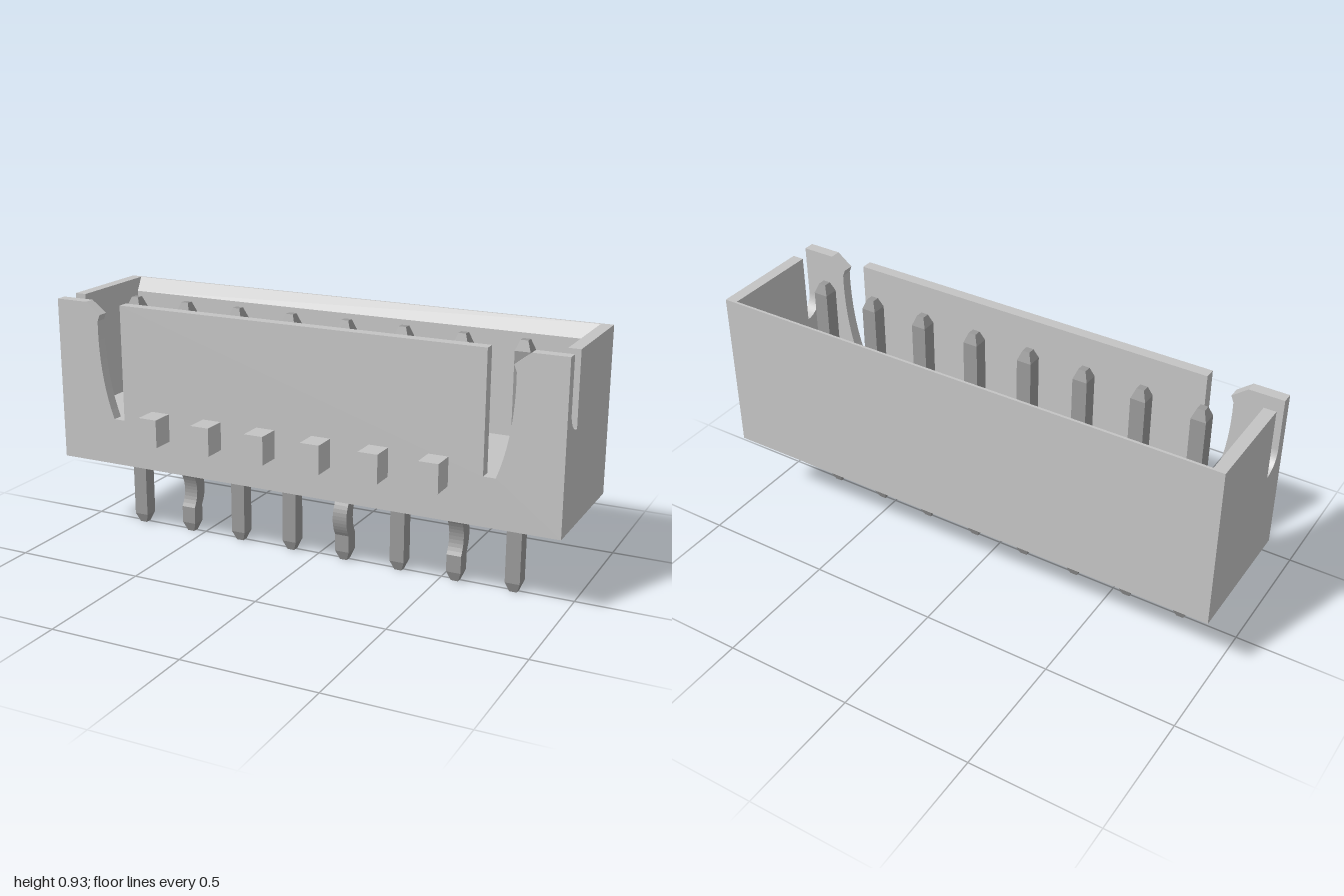
import * as THREE from 'three';

const housingMat = new THREE.MeshStandardMaterial({ color: 0xc4c4c4 });
housingMat.name = 'light grey housing';
const pinMat = new THREE.MeshStandardMaterial({ color: 0x999999 });
pinMat.name = 'mid grey pin';

// Main housing dimensions
const BOTTOM = 0.305, TOP = 0.93, FLOOR = 0.485;
const BACK = -0.3, FRONT = 0.21, FRONT_IN = 0.168, BACK_IN = -0.262;
const SIDE_IN = 0.955, PITCH = 0.223, PIN_Z = 0.004;

function add(group, name, geometry, material) {
  const mesh = new THREE.Mesh(geometry, material);
  mesh.name = name;
  group.add(mesh);
  return mesh;
}

function box(x0, x1, y0, y1, z0, z1) {
  return new THREE.BoxGeometry(x1 - x0, y1 - y0, z1 - z0)
    .translate((x0 + x1) / 2, (y0 + y1) / 2, (z0 + z1) / 2);
}

// Extrude a (-z, y) profile along x, from x0 to x1
function extrudeAlongX(shape, x0, x1) {
  return new THREE.ExtrudeGeometry(shape, { depth: x1 - x0, bevelEnabled: false, curveSegments: 10 })
    .rotateY(Math.PI / 2).translate(x0, 0, 0);
}

// Front wall with two flared, curved slots near the ends
function frontWall() {
  const s = new THREE.Shape();
  s.moveTo(-1, BOTTOM);
  s.lineTo(1, BOTTOM);
  s.lineTo(1, TOP);
  s.lineTo(0.87, TOP);
  s.lineTo(0.812, 0.885);
  s.lineTo(0.822, 0.86);
  s.bezierCurveTo(0.825, 0.74, 0.81, 0.6, 0.765, FLOOR);
  s.lineTo(0.72, FLOOR);
  s.lineTo(0.72, TOP);
  s.lineTo(-0.72, TOP);
  s.lineTo(-0.72, FLOOR);
  s.lineTo(-0.765, FLOOR);
  s.bezierCurveTo(-0.81, 0.6, -0.825, 0.74, -0.822, 0.86);
  s.lineTo(-0.812, 0.885);
  s.lineTo(-0.87, TOP);
  s.lineTo(-1, TOP);
  return new THREE.ExtrudeGeometry(s, { depth: FRONT - FRONT_IN, bevelEnabled: false, curveSegments: 10 })
    .translate(0, 0, FRONT_IN);
}

// Side wall with a round-bottomed notch behind the front wall
function sideProfile() {
  const s = new THREE.Shape();
  const r = 0.073;
  s.moveTo(-FRONT_IN, BOTTOM);
  s.lineTo(-BACK, BOTTOM);
  s.lineTo(-BACK, TOP);
  s.lineTo(r - FRONT_IN, TOP);
  s.lineTo(r - FRONT_IN, 0.66);
  s.absarc(r - FRONT_IN, 0.66 + r, r, -Math.PI / 2, -Math.PI, true);
  return s;
}

// Back wall with its inner top edge sloped
function backProfile() {
  return new THREE.Shape([
    [-BACK_IN, BOTTOM], [-BACK, BOTTOM], [-BACK, TOP], [0.29, TOP], [-BACK_IN, 0.877],
  ].map(([x, y]) => new THREE.Vector2(x, y)));
}

// Square pin with tapered ends; bend bows the tail along z
function pinGeometry(bend) {
  const w = 0.028, tip = 0.014;
  const rows = [[0, tip, 0], [0.037, w, 0]];
  for (let i = 0; i <= 10; i++) {
    const t = i / 5 - 1;
    rows.push([0.17 + 0.067 * t, w, bend * 0.022 * (1 - t * t)]);
  }
  rows.push([0.883, w, 0], [0.92, tip, 0]);
  const n = rows.length - 1;
  const g = new THREE.BoxGeometry(2, 1, 2, 1, n, 1);
  const p = g.attributes.position;
  for (let i = 0; i < p.count; i++) {
    const [y, half, shift] = rows[Math.round((p.getY(i) + 0.5) * n)];
    p.setXYZ(i, p.getX(i) * half, y, p.getZ(i) * half + shift);
  }
  const flat = g.toNonIndexed();
  flat.computeVertexNormals();
  return flat;
}

export function createModel() {
  const model = new THREE.Group();
  model.name = 'pinHeader';

  const housing = new THREE.Group();
  housing.name = 'housing';
  model.add(housing);
  add(housing, 'floor', box(-SIDE_IN, SIDE_IN, BOTTOM, FLOOR, BACK_IN, FRONT_IN), housingMat);
  add(housing, 'frontWall', frontWall(), housingMat);
  add(housing, 'backWall', extrudeAlongX(backProfile(), -SIDE_IN, SIDE_IN), housingMat);
  add(housing, 'leftWall', extrudeAlongX(sideProfile(), SIDE_IN, 1), housingMat);
  add(housing, 'rightWall', extrudeAlongX(sideProfile(), -1, -SIDE_IN), housingMat);

  // Row of small blocks on the front
  for (let i = 0; i < 6; i++) {
    const x = (i - 2.5) * PITCH;
    add(housing, 'frontBlock' + (i + 1), box(x - 0.037, x + 0.037, 0.43, 0.537, FRONT, 0.3), housingMat);
  }

  // Eight pins, three with bowed tails
  const bends = [0, -1, 0, 0, 1, 0, -1, 0];
  bends.forEach((bend, i) => {
    const pin = add(model, 'pin' + (i + 1), pinGeometry(bend), pinMat);
    pin.position.set((i - 3.5) * PITCH, 0, PIN_Z);
  });
  return model;
}
